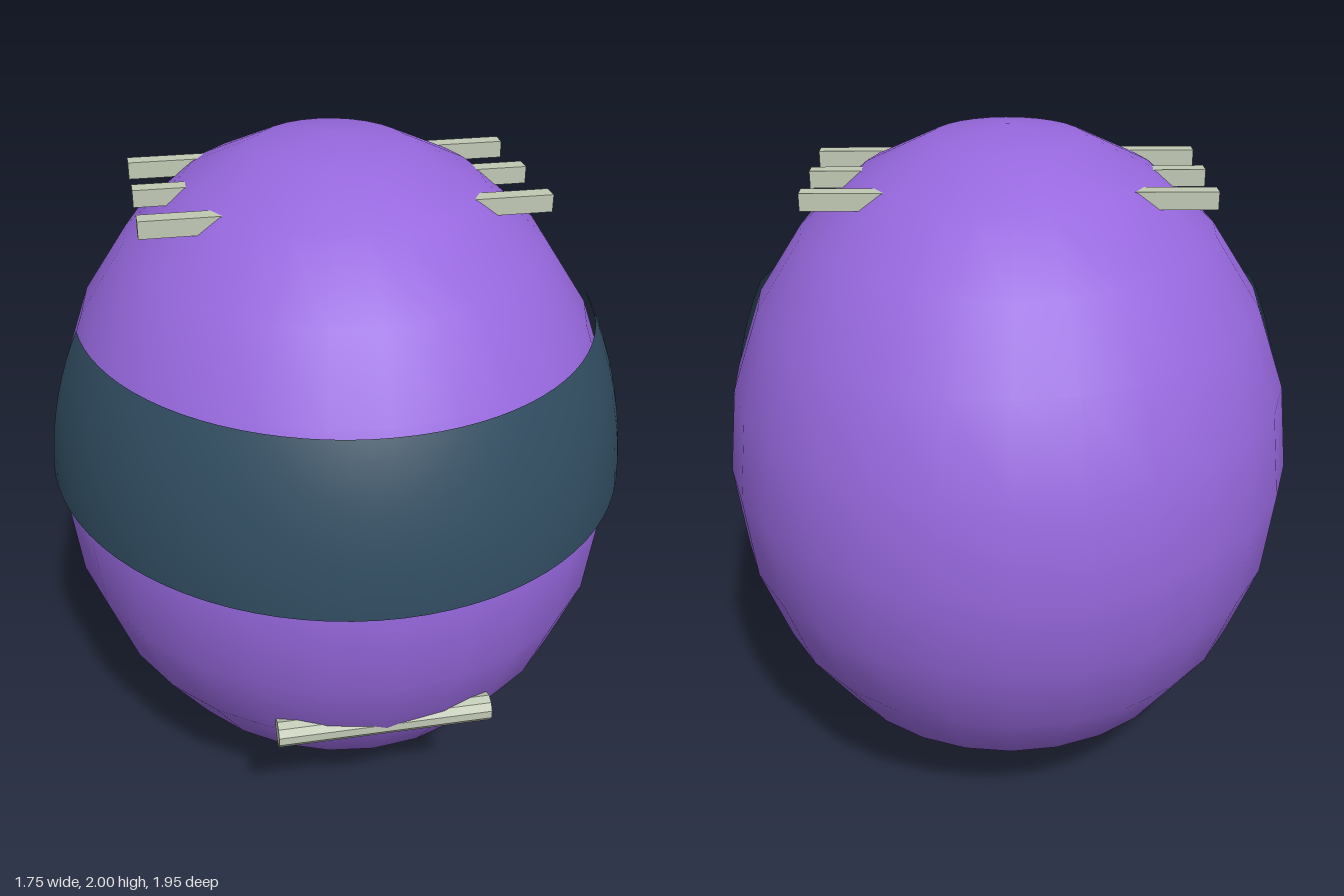
import * as THREE from 'three';

export function createModel() {
  const group = new THREE.Group();
  group.name = 'model';

  const paint = (name, color) => {
    const material = new THREE.MeshStandardMaterial({ color });
    material.name = name;
    return material;
  };
  const purple = paint('purple', 0x9768de);
  const navy = paint('navy', 0x304c60);
  const paleGreen = paint('paleGreen', 0xc0c9b4);
  navy.side = THREE.DoubleSide;

  const add = (name, geometry, material, x, y, z) => {
    const mesh = new THREE.Mesh(geometry, material);
    mesh.name = name;
    mesh.position.set(x, y, z);
    group.add(mesh);
    return mesh;
  };

  // Egg-shaped body
  const RX = 0.865, RY = 1, RZ = 0.966, CZ = -0.009;
  add('body', new THREE.SphereGeometry(1, 28, 12).scale(RX, RY, RZ), purple, 0, RY, CZ);

  // Visor: an open band around the front, just outside the body
  const swell = 1.02, inset = 0.12;
  const top = Math.acos(0.493 / swell), bottom = Math.acos(0.027 / swell);
  const band = new THREE.SphereGeometry(swell, 40, 10, inset, Math.PI - 2 * inset, top, bottom - top);
  add('visor', band.scale(RX, RY, RZ), navy, 0, RY, CZ);

  // Mouth bar, partly sunk into the body
  const bar = new THREE.CylinderGeometry(0.04, 0.04, 0.62, 10).toNonIndexed();
  bar.rotateY(Math.PI / 10).rotateZ(Math.PI / 2).computeVertexNormals();
  add('mouth', bar, paleGreen, 0, 0.525, 0.8);

  // Three short prongs on each side of the crown
  const prong = new THREE.BoxGeometry(0.254, 0.05, 0.052);
  for (const [label, side] of [['left', 1], ['right', -1]]) {
    for (let i = -1; i <= 1; i++) {
      add(`${label}Prong${i + 2}`, prong, paleGreen, side * 0.447, 1.845, -0.013 + i * 0.247);
    }
  }

  return group;
}
